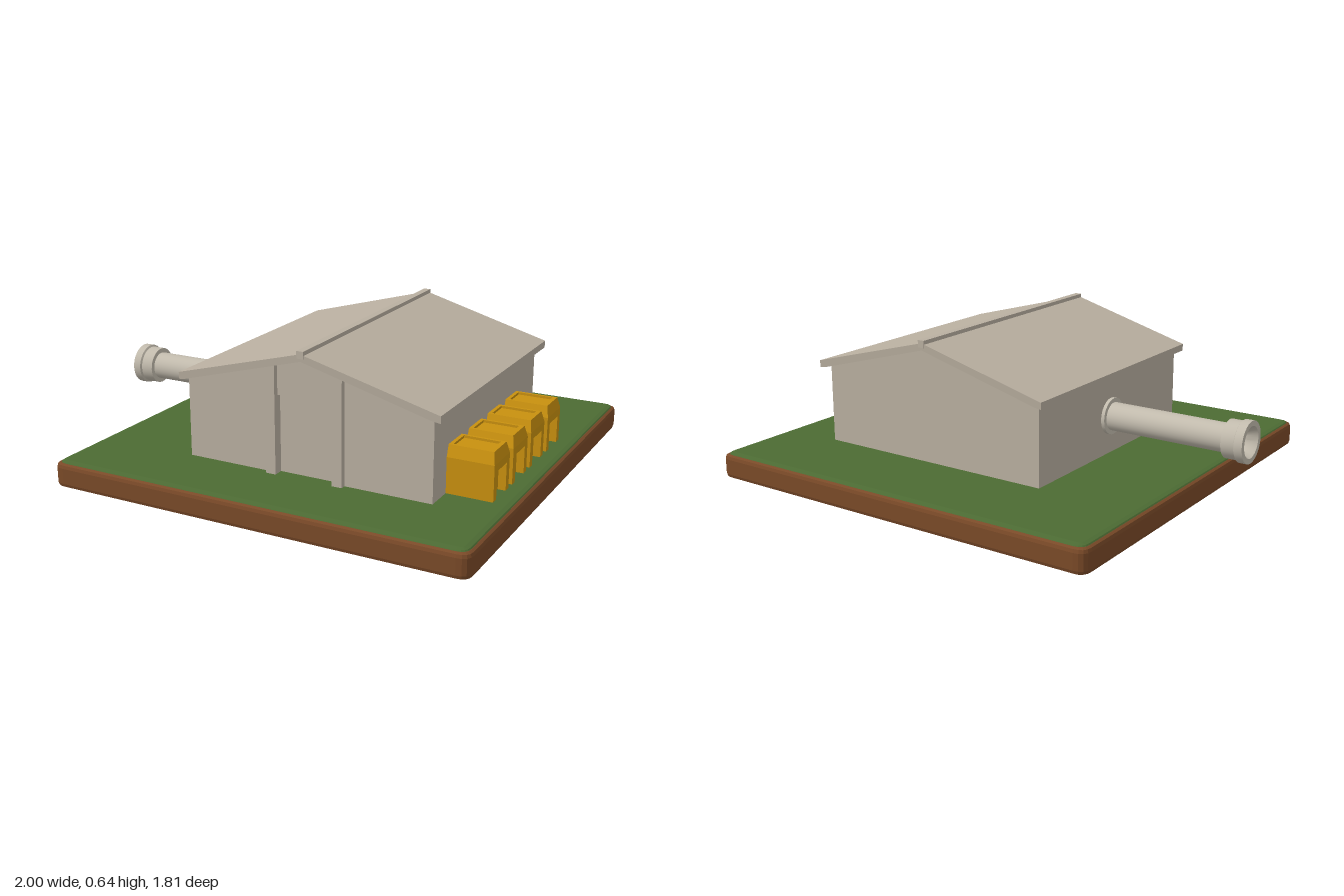
import * as THREE from 'three';
import { toCreasedNormals } from 'three/addons/utils/BufferGeometryUtils.js';

const mat = (name, color) => {
  const m = new THREE.MeshStandardMaterial({ color });
  m.name = name;
  return m;
};

const polygon = (pts) => new THREE.Shape(pts.map(([x, y]) => new THREE.Vector2(x, y)));

// Straight extrusion of an outline from z0 to z1
function prism(pts, z0, z1) {
  const g = new THREE.ExtrudeGeometry(polygon(pts), { depth: z1 - z0, bevelEnabled: false });
  return g.translate(0, 0, z0);
}

// Horizontal slab with rounded corners and bevelled rims
function slab(x0, x1, z0, z1, y0, y1, r, bevelThickness, bevelSize) {
  const w = (x1 - x0) / 2, h = (z1 - z0) / 2;
  const s = new THREE.Shape();
  s.moveTo(-w + r, -h);
  s.lineTo(w - r, -h); s.quadraticCurveTo(w, -h, w, -h + r);
  s.lineTo(w, h - r); s.quadraticCurveTo(w, h, w - r, h);
  s.lineTo(-w + r, h); s.quadraticCurveTo(-w, h, -w, h - r);
  s.lineTo(-w, -h + r); s.quadraticCurveTo(-w, -h, -w + r, -h);
  const g = new THREE.ExtrudeGeometry(s, {
    depth: y1 - y0 - 2 * bevelThickness, bevelThickness, bevelSize,
    bevelOffset: -bevelSize, bevelSegments: 2, curveSegments: 4,
  });
  g.rotateX(-Math.PI / 2);
  return g.translate((x0 + x1) / 2, y0 + bevelThickness, (z0 + z1) / 2);
}

// Rectangular rings [y, x0, x1, halfZ] joined bottom to top, last ring capped
function rectLoft(rings) {
  const corners = rings.map(([y, x0, x1, hz]) => [[x0, y, hz], [x1, y, hz], [x1, y, -hz], [x0, y, -hz]]);
  const pos = [];
  const quad = (a, b, c, d) => pos.push(...a, ...b, ...c, ...a, ...c, ...d);
  for (let i = 0; i < corners.length - 1; i++) {
    const lo = corners[i], hi = corners[i + 1];
    for (let k = 0; k < 4; k++) quad(lo[k], lo[(k + 1) % 4], hi[(k + 1) % 4], hi[k]);
  }
  quad(...corners[corners.length - 1]);
  const g = new THREE.BufferGeometry();
  g.setAttribute('position', new THREE.Float32BufferAttribute(pos, 3));
  g.computeVertexNormals();
  return g;
}

export function createModel() {
  const root = new THREE.Group();
  root.name = 'barnPlot';
  const soil = mat('soil brown', 0x7a4a28);
  const grass = mat('grass green', 0x4c6b33);
  const wall = mat('wall beige', 0xb9afa0);
  const pipeMat = mat('pipe beige', 0xc2bbad);
  const amber = mat('amber', 0xc8900f);

  const add = (name, geometry, material, parent = root) => {
    const m = new THREE.Mesh(geometry, material);
    m.name = name;
    parent.add(m);
    return m;
  };

  // Ground
  add('soilBase', slab(-0.82, 1, -0.908, 0.9, 0, 0.102, 0.05, 0.018, 0.014), soil);
  add('grassTop', slab(-0.808, 0.988, -0.896, 0.888, 0.08, 0.11, 0.045, 0.012, 0.025), grass);

  // Barn: solid body plus a front layer that leaves the doorway open
  const barn = new THREE.Group();
  barn.name = 'barn';
  root.add(barn);
  const L = -0.36, R = 0.72, C = 0.18, Y = 0.1, eave = 0.455, peak = 0.6;
  add('barnBody', prism([[L, Y], [R, Y], [R, eave], [C, peak], [L, eave]], -0.51, 0.555), wall, barn);
  add('frontWall', prism([
    [L, Y], [0.055, Y], [0.055, 0.435], [0.305, 0.435], [0.305, Y],
    [R, Y], [R, eave], [C, peak], [L, eave],
  ], 0.555, 0.575), wall, barn);

  // Door posts with tops following the roof slope
  for (const side of [-1, 1]) {
    const a = C + side * 0.125, b = C + side * 0.17;
    const top = (x) => peak - Math.abs(x - C) * 0.268;
    const pts = [[a, Y], [b, Y], [b, top(b)], [a, top(a)]];
    add(side < 0 ? 'doorPostRight' : 'doorPostLeft', prism(pts, 0.55, 0.598), wall, barn);
  }

  // Roof: chevron section whose gable ends lean outward toward the ridge
  const roof = prism([
    [-0.39, 0.44], [-0.36, 0.445], [C, 0.595], [0.72, 0.445], [0.755, 0.44],
    [0.755, 0.47], [C, 0.625], [-0.39, 0.47],
  ], -1, 1);
  const p = roof.attributes.position;
  for (let i = 0; i < p.count; i++) {
    const half = 0.57 + (p.getY(i) - 0.44) * 0.075;
    p.setZ(i, 0.03 + Math.sign(p.getZ(i)) * half);
  }
  roof.computeVertexNormals();
  add('roof', roof, wall, barn);
  add('ridgeCap', new THREE.BoxGeometry(0.03, 0.03, 1.17).translate(C, 0.622, 0.03), wall, barn);

  // Side pipe with flanges and an open mouth
  const profile = [
    [0.001, 0.35], [0.078, 0.35], [0.078, 0.375], [0.06, 0.375], [0.06, 0.905], [0.08, 0.905],
    [0.08, 0.96], [0.088, 0.965], [0.088, 1], [0.066, 1], [0.05, 0.96], [0.05, 0.45], [0.001, 0.45],
  ].map(([r, y]) => new THREE.Vector2(r, y));
  const pipe = toCreasedNormals(new THREE.LatheGeometry(profile, 32), 0.5);
  pipe.rotateZ(Math.PI / 2).translate(0, 0.272, 0.025);
  add('pipe', pipe, pipeMat);

  // Row of boxes along the left wall
  const bodyGeo = new THREE.ExtrudeGeometry(
    polygon([[-0.08, Y], [0.08, Y], [0.08, 0.257], [-0.08, 0.257]]), { depth: 0.165, bevelEnabled: false });
  bodyGeo.rotateY(Math.PI / 2).translate(0.715, 0, 0);
  const frontGeo = new THREE.ExtrudeGeometry(polygon([
    [-0.08, Y], [-0.05, Y], [-0.05, 0.225], [0.05, 0.225], [0.05, Y],
    [0.08, Y], [0.08, 0.257], [-0.08, 0.257],
  ]), { depth: 0.032, bevelEnabled: false });
  frontGeo.rotateY(Math.PI / 2).translate(0.88, 0, 0);
  const lidGeo = rectLoft([
    [0.257, 0.715, 0.912, 0.08], [0.304, 0.718, 0.902, 0.064],
    [0.304, 0.735, 0.884, 0.052], [0.294, 0.735, 0.884, 0.052],
  ]);
  [0.373, 0.173, -0.027, -0.23].forEach((z, i) => {
    const box = new THREE.Group();
    box.name = 'box' + (i + 1);
    box.position.z = z;
    add('boxBody', bodyGeo, amber, box);
    add('boxFront', frontGeo, amber, box);
    add('boxLid', lidGeo, amber, box);
    root.add(box);
  });

  return root;
}
